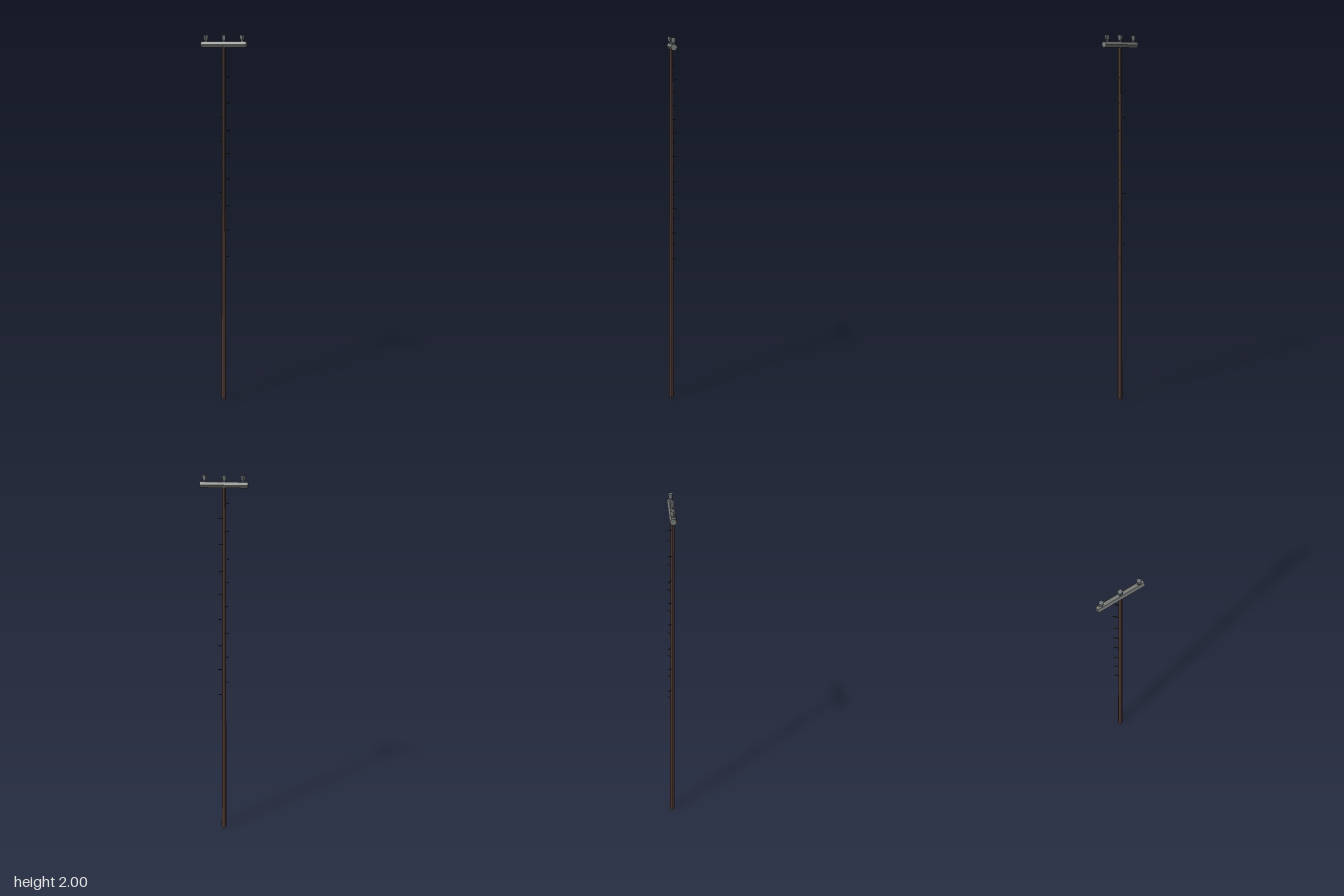
import * as THREE from 'three';

export function createModel() {
  const group = new THREE.Group();
  const material = (name, color) => {
    const m = new THREE.MeshStandardMaterial({ color, flatShading: true });
    m.name = name;
    return m;
  };
  const wood = material('brownWood', 0x5c443e);
  const beam = material('greyBeam', 0x747875);
  const glaze = material('greyInsulator', 0x6c7276);
  const iron = material('darkIron', 0x2b2928);

  const add = (name, geometry, mat, x, y, z) => {
    const mesh = new THREE.Mesh(geometry, mat);
    mesh.name = name;
    mesh.position.set(x, y, z);
    group.add(mesh);
    return mesh;
  };

  // Tapered pole
  const poleZ = 0.004;
  add('pole', new THREE.CylinderGeometry(0.0095, 0.0135, 1.95, 8), wood, 0, 0.975, poleZ);

  // Six-sided crossarm with a ridge along its top
  const armGeometry = new THREE.CylinderGeometry(0.0175, 0.0175, 0.249, 6);
  armGeometry.rotateZ(Math.PI / 2);
  add('crossarm', armGeometry, beam, 0, 1.951, 0.001);

  // Square insulators, each turned differently, on short stems
  [[-0.1, 0.0], [0, 0.95], [0.1, 0.45]].forEach(([x, turn]) => {
    const head = add('insulator', new THREE.CylinderGeometry(0.0145, 0.012, 0.025, 4), glaze, x, 1.9875, 0.001);
    head.rotation.y = turn;
    const stem = add('insulatorStem', new THREE.CylinderGeometry(0.007, 0.007, 0.016, 6), glaze, x, 1.97, 0.001);
    stem.rotation.y = turn;
  });

  // Climbing pegs alternate between the two rear corners of the pole
  const up = new THREE.Vector3(0, 1, 0);
  const pegGeometry = new THREE.CylinderGeometry(0.0025, 0.0025, 0.036, 5);
  pegGeometry.translate(0, 0.018, 0);
  const tilts = [0.25, 0.2, -0.1, 0.15, 0.3, 0, 0.25, 0.1];
  const pegs = (side, heights, slope) => heights.forEach((y, i) => {
    const peg = add('climbingPeg', pegGeometry, iron, 0, y, poleZ);
    const dir = new THREE.Vector3(side * 0.74, slope * tilts[i], -0.65).normalize();
    peg.quaternion.setFromUnitVectors(up, dir);
  });
  pegs(-1, [1.85, 1.705, 1.57, 1.435, 1.3, 1.16, 1.02, 0.88], 1.2);
  pegs(1, [1.775, 1.64, 1.5, 1.37, 1.23, 1.09, 0.95, 0.808], 0.8);

  return group;
}
